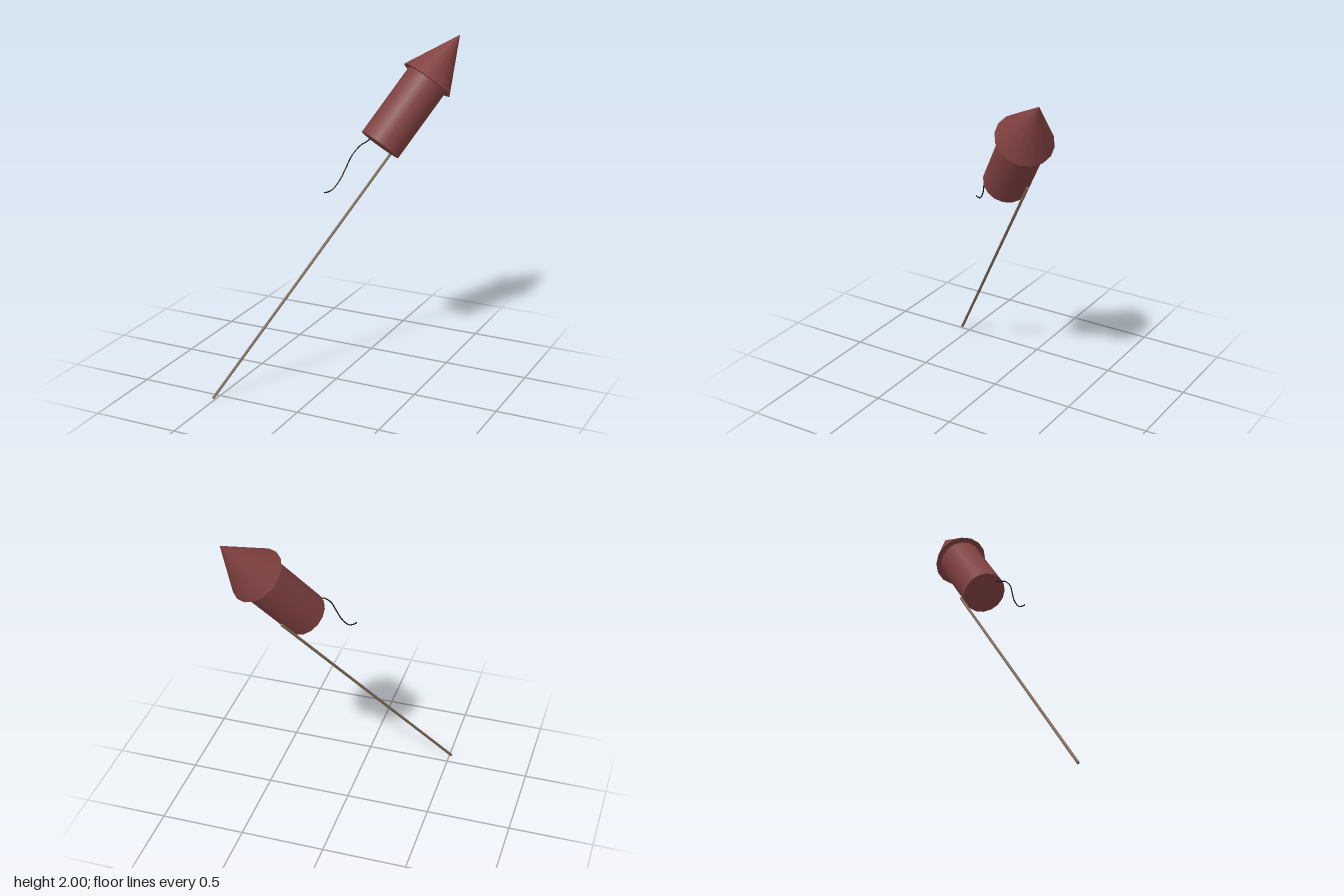
import * as THREE from 'three';

const red = new THREE.MeshStandardMaterial({ color: 0x804040 });
red.name = 'red card';
const wood = new THREE.MeshStandardMaterial({ color: 0x7d6a55 });
wood.name = 'wood';
const black = new THREE.MeshStandardMaterial({ color: 0x15151a });
black.name = 'black cord';

function part(name, geometry, material, x, y, z) {
  const mesh = new THREE.Mesh(geometry, material);
  mesh.name = name;
  mesh.position.set(x, y, z);
  return mesh;
}

export function createModel() {
  const model = new THREE.Group();
  model.name = 'fireworkRocket';

  // Tilted frame: local y runs along the rocket, origin at the centre of the tube's lower end
  const rocket = new THREE.Group();
  rocket.name = 'rocket';
  const axis = new THREE.Vector3(0.413, 0.765, -0.4935).normalize();
  const side = new THREE.Vector3(0.767, 0, 0.642).normalize();
  const front = new THREE.Vector3().crossVectors(side, axis).normalize();
  side.crossVectors(axis, front);
  rocket.quaternion.setFromRotationMatrix(new THREE.Matrix4().makeBasis(side, axis, front));
  rocket.position.set(0.186, 1.409, -0.184);
  model.add(rocket);

  // Tube and overhanging nose cone
  const tubeLength = 0.453, noseLength = 0.32;
  rocket.add(part('tube', new THREE.CylinderGeometry(0.128, 0.128, tubeLength, 16), red, 0, tubeLength / 2, 0));
  rocket.add(part('noseCone', new THREE.ConeGeometry(0.16, noseLength, 16), red, 0, tubeLength + noseLength / 2, 0));

  // Guide stick against the back of the tube
  const stickBottom = -1.73, stickTop = 0.139;
  rocket.add(part('stick', new THREE.CylinderGeometry(0.008, 0.008, stickTop - stickBottom, 8), wood,
    -0.057, (stickBottom + stickTop) / 2, -0.123));

  // Limp fuse hanging from the tube's lower end
  const path = new THREE.CatmullRomCurve3([
    [0.167, 1.467, -0.11], [0.15, 1.45, -0.08], [0.13, 1.435, -0.04], [0.1, 1.385, 0.005],
    [0.075, 1.32, 0.026], [0.05, 1.255, 0.047], [0.02, 1.2, 0.083], [0.002, 1.188, 0.11], [-0.012, 1.188, 0.133],
  ].map(p => new THREE.Vector3(...p)));
  model.add(part('fuse', new THREE.TubeGeometry(path, 40, 0.0035, 6), black, 0, 0, 0));

  return model;
}
